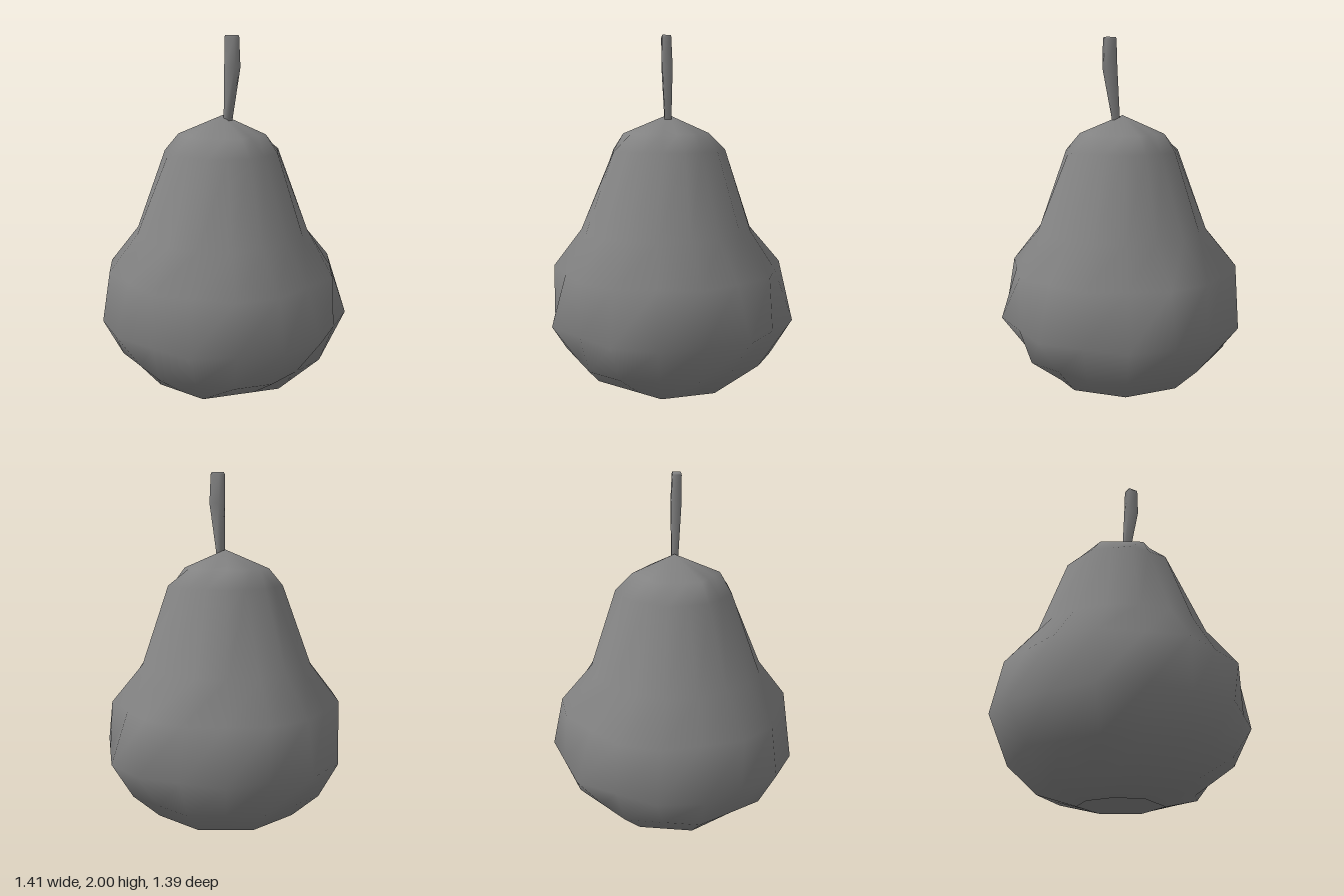
import * as THREE from 'three';

// Closed loft through equal-length rings (listed bottom to top), ending in a point at each end.
function loft(rings, bottom, top, name) {
  const n = rings[0].length;
  const points = [...rings.flat(), bottom, top];
  const bottomId = points.length - 2, topId = points.length - 1;
  const last = (rings.length - 1) * n;
  const index = [];
  for (let j = 0; j < n; j++) {
    const k = (j + 1) % n;
    for (let r = 0; r < last; r += n) {
      index.push(r + k, r + j, r + n + j, r + k, r + n + j, r + n + k);
    }
    index.push(j, k, bottomId, last + k, last + j, topId);
  }
  const geometry = new THREE.BufferGeometry().setFromPoints(points);
  geometry.setIndex(index);
  geometry.computeVertexNormals();
  const mesh = new THREE.Mesh(geometry, new THREE.MeshStandardMaterial({ color: 0x828282 }));
  mesh.name = name;
  return mesh;
}

// Point at an angle in degrees, measured clockwise from the back as seen from above.
function polar(x, y, z, rx, rz, degrees) {
  const a = THREE.MathUtils.degToRad(degrees);
  return new THREE.Vector3(x + rx * Math.sin(a), y, z - rz * Math.cos(a));
}

// Ring of 18 points; only the listed corners lie on the circle, the rest sit on the chords.
function facetedRing(y, radius, z, corners) {
  const ring = [];
  corners.forEach((start, i) => {
    const end = i + 1 < corners.length ? corners[i + 1] : corners[0] + 360;
    const a = polar(0, y, z, radius, radius, start);
    const b = polar(0, y, z, radius, radius, end);
    const steps = Math.round((end - start) / 20);
    for (let s = 0; s < steps; s++) ring.push(a.clone().lerp(b, s / steps));
  });
  // Begin every ring at the back so neighbouring rings line up
  const shift = Math.round(corners[0] / 20);
  return [...ring.slice(ring.length - shift), ...ring.slice(0, ring.length - shift)];
}

// Four-sided tapering stalk from sections of [x, y, z, half width, half depth].
function stalk(sections, name) {
  const rings = sections.map(([x, y, z, w, d]) =>
    [45, 135, 225, 315].map((a) => polar(x, y, z, w * Math.SQRT2, d * Math.SQRT2, a)));
  const [first, last] = [sections[0], sections[sections.length - 1]]
    .map(([x, y, z]) => new THREE.Vector3(x, y, z));
  return loft(rings, first, last, name);
}

export function createModel() {
  const group = new THREE.Group();
  group.name = 'pear';

  // Fruit body: irregularly faceted rings with smooth shading
  const all = Array.from({ length: 18 }, (_, i) => i * 20);
  const ninth = all.filter((a) => a % 40 === 0);
  const sixth = all.filter((a) => a % 60 === 0);
  const profile = [
    // y, radius, z centre, corners
    [0.0, 0.23, 0.03, [0, 60, 120, 180, 220, 260, 300]],
    [0.06, 0.44, 0.03, [20, 60, 100, 160, 200, 260, 300, 340]],
    [0.21, 0.60, 0.03, [20, 40, 80, 120, 140, 180, 220, 260, 300, 340]],
    [0.42, 0.715, 0.02, [0, 20, 60, 100, 120, 160, 200, 220, 260, 280, 320]],
    [0.71, 0.66, 0.03, [0, 40, 80, 120, 140, 180, 220, 240, 280, 300, 340]],
    [0.92, 0.49, 0.04, all],
    [1.37, 0.33, 0.03, ninth],
    [1.465, 0.245, 0.04, sixth],
  ];
  const rings = profile.map((p) => facetedRing(...p));
  // Dimple underneath and a blunt point on top
  const dimple = new THREE.Vector3(0, 0.13, 0.03);
  const crown = new THREE.Vector3(0, 1.57, 0.03);
  group.add(loft(rings, dimple, crown, 'fruitBody'));

  // Stem, swelling and bending towards +x
  group.add(stalk([
    [0.035, 1.5, 0.034, 0.016, 0.017],
    [0.04, 1.56, 0.035, 0.018, 0.019],
    [0.071, 1.83, 0.042, 0.034, 0.028],
    [0.07, 1.99, 0.046, 0.031, 0.025],
    [0.07, 2.0, 0.046, 0.028, 0.022],
  ], 'stem'));

  // Small nub inside the dimple
  group.add(stalk([
    [0, 0.08, 0.03, 0.025, 0.025],
    [0, 0.15, 0.03, 0.03, 0.03],
  ], 'calyx'));

  return group;
}
